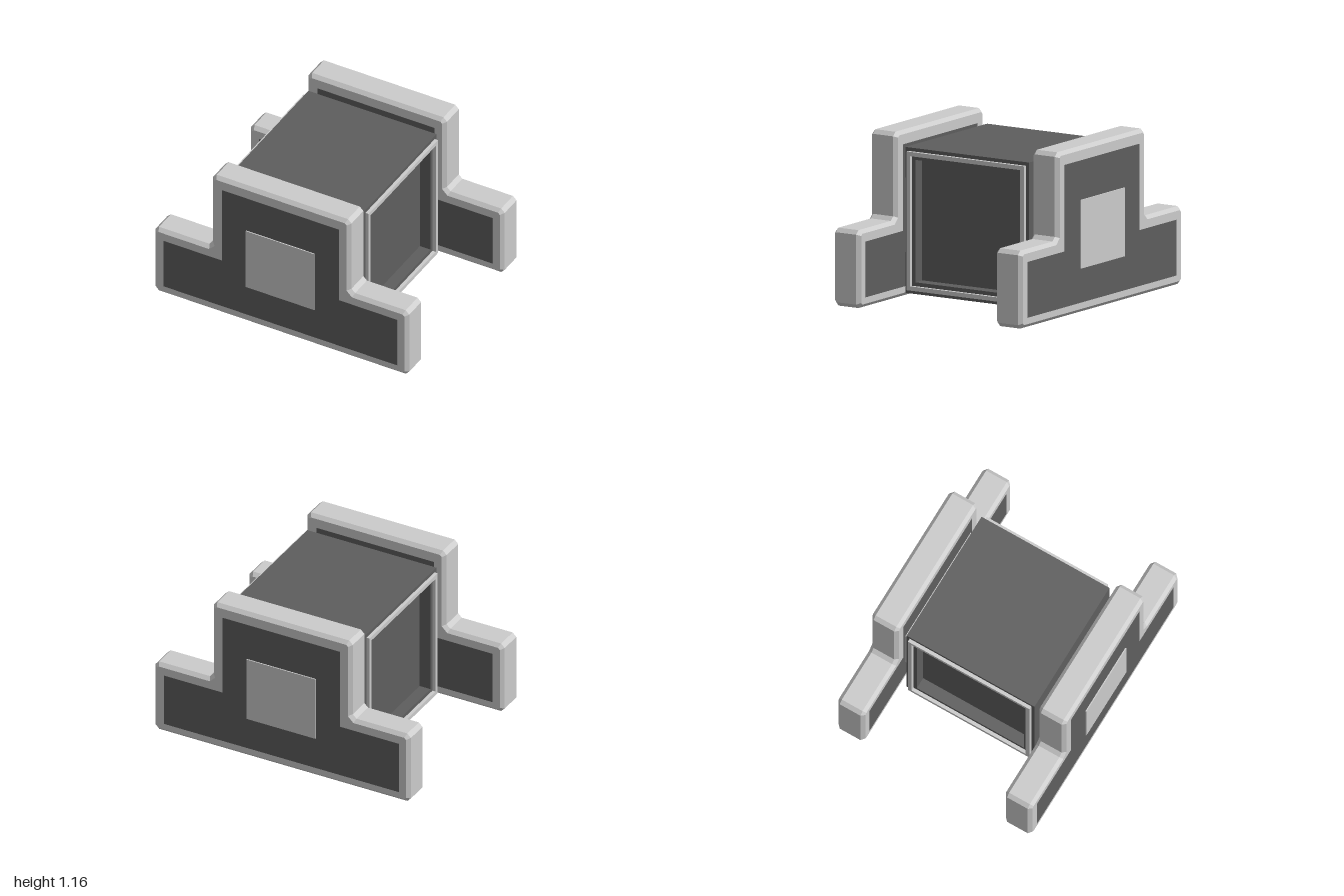
import * as THREE from 'three';

const light = new THREE.MeshStandardMaterial({ color: 0xcccccc });
const dark = new THREE.MeshStandardMaterial({ color: 0x5e5e5e });
const MID_Y = 0.55;

function add(parent, name, geometry, material) {
  const mesh = new THREE.Mesh(geometry, material);
  mesh.name = name;
  parent.add(mesh);
  return mesh;
}

// Box given by its extents
function block(x, y0, y1, z0, z1) {
  return new THREE.BoxGeometry(2 * x, y1 - y0, z1 - z0).translate(0, (y0 + y1) / 2, (z0 + z1) / 2);
}

// Stepped outline, each corner cut by c
function stepShape(wide, narrow, y0, yStep, y1, c) {
  const p = [
    [-wide, y0], [wide, y0], [wide, yStep], [narrow, yStep],
    [narrow, y1], [-narrow, y1], [-narrow, yStep], [-wide, yStep],
  ].map(([x, y]) => new THREE.Vector2(x, y));
  if (!c) return new THREE.Shape(p);
  const cut = p.flatMap((v, i) => [p[(i + 7) % 8], p[(i + 1) % 8]].map(
    (n) => v.clone().add(n.clone().sub(v).setLength(c))));
  return new THREE.Shape(cut);
}

// Square ring facing +x, spanning x0..x1
function ring(outer, inner, x0, x1) {
  const square = (h) => [[-h, -h], [h, -h], [h, h], [-h, h]].map(([x, y]) => new THREE.Vector2(x, y));
  const shape = new THREE.Shape(square(outer));
  shape.holes.push(new THREE.Path(square(inner).reverse()));
  return new THREE.ExtrudeGeometry(shape, { depth: x1 - x0, bevelEnabled: false })
    .translate(0, 0, x0).rotateY(Math.PI / 2).translate(0, MID_Y, 0);
}

// Chamfered end slab with inlaid panels, outer plate and hub
function endSlab() {
  const g = new THREE.Group();
  const b = 0.025;
  add(g, 'slab', new THREE.ExtrudeGeometry(stepShape(1, 0.545, 0, 0.545, 1.16, 0.028), {
    depth: 0.215 - 2 * b, bevelEnabled: true, bevelSegments: 1,
    bevelSize: b, bevelThickness: b, bevelOffset: -b,
  }).translate(0, 0, 0.56 + b), light);
  add(g, 'slabPanels', new THREE.ExtrudeGeometry(stepShape(0.92, 0.46, 0.07, 0.46, 1.065, 0), {
    depth: 0.219, bevelEnabled: false,
  }).translate(0, 0, 0.558), dark);
  add(g, 'outerPlate', block(0.27, 0.31, 0.79, 0.75, 0.785), light);
  add(g, 'hubPlate', block(0.44, 0.31, 0.83, 0.525, 0.57), light);
  add(g, 'hubCore', block(0.27, 0.375, 0.77, 0.5, 0.53), light);
  return g;
}

export function createModel() {
  const model = new THREE.Group();
  model.name = 'model';

  // Central box with a recess in each open side
  const body = new THREE.Group();
  body.name = 'centralBox';
  model.add(body);
  add(body, 'core', block(0.42, MID_Y - 0.51, MID_Y + 0.51, -0.51, 0.51), dark);
  for (const side of ['left', 'right']) {
    const end = new THREE.Group();
    end.name = side + 'Opening';
    add(end, 'rim', ring(0.51, 0.428, 0.42, 0.505), dark);
    add(end, 'frame', ring(0.485, 0.455, 0.5, 0.53), light);
    if (side === 'right') end.rotation.y = Math.PI;
    body.add(end);
  }

  // Front and back slabs
  for (const end of ['front', 'back']) {
    const slab = endSlab();
    slab.name = end + 'Slab';
    if (end === 'back') slab.rotation.y = Math.PI;
    model.add(slab);
  }
  return model;
}
